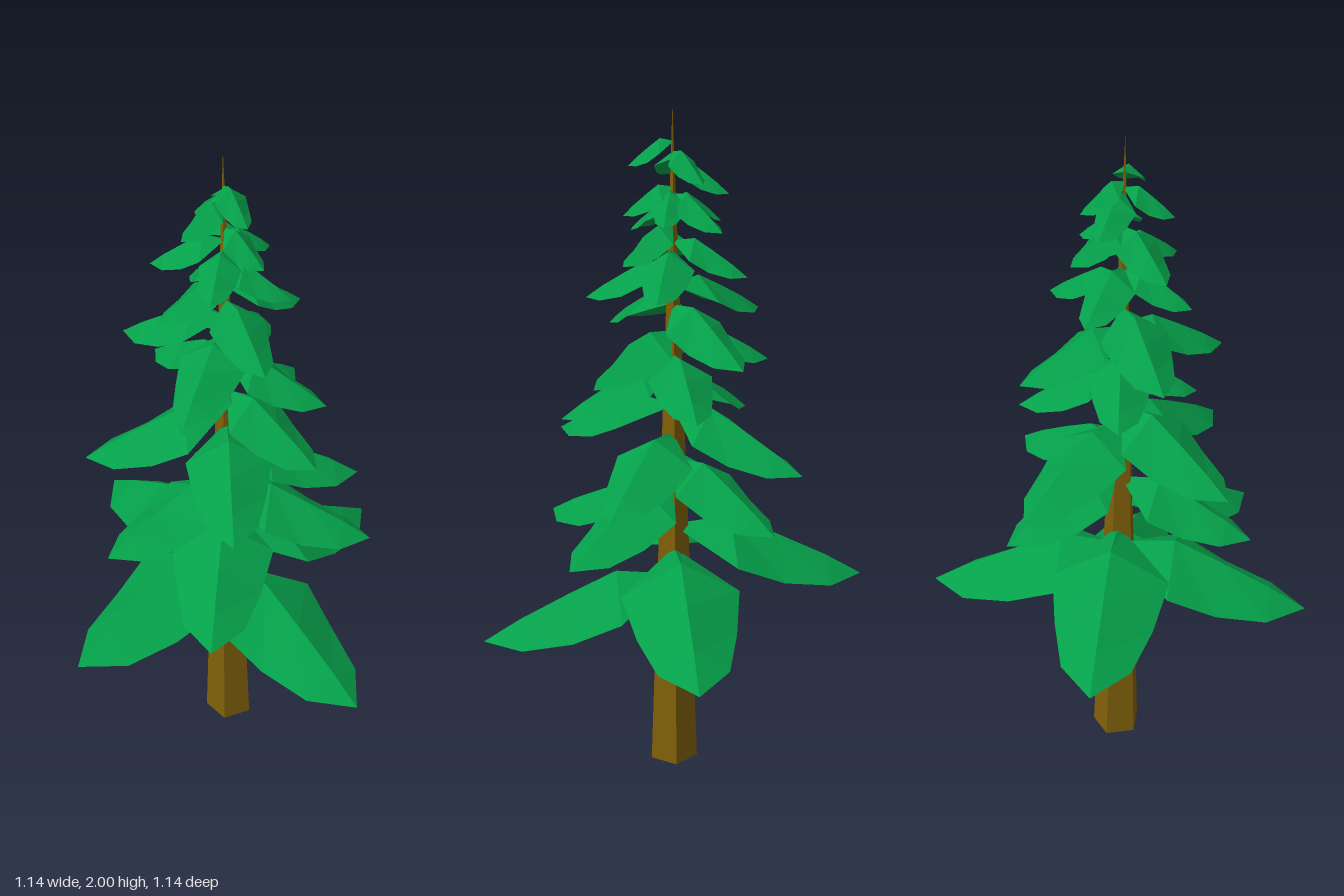
import * as THREE from 'three';

const bark = new THREE.MeshStandardMaterial({ color: 0x806008, flatShading: true });
const needle = new THREE.MeshStandardMaterial({ color: 0x05a04a, flatShading: true, side: THREE.DoubleSide });

// Tip [x, y, z] of every branch, ring by ring from the bottom up
const rings = [
  [[0, 0.42, 0.57], [0.57, 0.51, 0], [0, 0.58, -0.57], [-0.57, 0.52, -0.01]],
  [[-0.355, 0.69, 0.335], [0.27, 0.76, 0.325], [0.285, 0.84, -0.25], [-0.4, 0.8, -0.07]],
  [[0.315, 0.92, 0.215], [0.215, 0.99, -0.34], [-0.34, 1.04, -0.235], [-0.25, 1.0, 0.31]],
  [[0.04, 1.13, 0.325], [0.28, 1.18, -0.03], [-0.04, 1.26, -0.28], [-0.22, 1.22, 0.05]],
  [[0.15, 1.25, 0.24], [0.25, 1.32, -0.16], [-0.16, 1.38, -0.27], [-0.28, 1.33, 0.14]],
  [[-0.08, 1.45, 0.24], [0.2, 1.5, 0.07], [0.06, 1.53, -0.2], [-0.21, 1.53, -0.05]],
  [[0.09, 1.58, 0.15], [0.11, 1.67, -0.12], [-0.15, 1.65, -0.15], [-0.15, 1.63, 0.1]],
  [[0, 1.7, 0.14], [0.11, 1.69, 0.04], [0.03, 1.76, -0.15]],
  [[-0.04, 1.83, 0.12], [0.09, 1.8, -0.07], [-0.155, 1.78, -0.01]],
];

// Cross-sections of a folded leaf: [along, half width, ridge drop, edge drop], all as fractions
const sections = [
  [0, 0.12, 0.08, 0.16],
  [0.27, 1, 0, 0.46],
  [0.53, 0.83, 0.32, 0.78],
  [0.8, 0.58, 0.68, 0.95],
  [1, 0, 1, 1],
];

// Leaf running along +z from the trunk to its tip at y = 0
function leafGeometry(length) {
  const width = 0.01 + 0.295 * length;
  const drop = 0.04 + 0.31 * length;
  const points = [];
  const index = [];
  for (const [t, w, ridge, edge] of sections) {
    const z = t * length;
    points.push(-w * width, (1 - edge) * drop, z, 0, (1 - ridge) * drop, z, w * width, (1 - edge) * drop, z);
  }
  for (let i = 0; i < sections.length - 1; i++) {
    for (let j = 0; j < 2; j++) {
      const a = i * 3 + j, b = a + 1, c = a + 3, d = a + 4;
      // the last section narrows to a point
      if (i === sections.length - 2) index.push(a, c, b);
      else index.push(a, c, b, b, c, d);
    }
  }
  const g = new THREE.BufferGeometry();
  g.setAttribute('position', new THREE.Float32BufferAttribute(points, 3));
  g.setIndex(index);
  const flat = g.toNonIndexed();
  flat.computeVertexNormals();
  return flat;
}

export function createModel() {
  const tree = new THREE.Group();
  tree.name = 'coniferTree';

  // Five-sided trunk with one corner towards +x, leaning slightly to its tip
  const trunkGeometry = new THREE.ConeGeometry(0.074, 2, 5);
  trunkGeometry.rotateY(Math.PI / 2).translate(0, 1, 0);
  const p = trunkGeometry.attributes.position;
  for (let i = 0; i < p.count; i++) p.setX(i, p.getX(i) + 0.003 - 0.0115 * p.getY(i));
  trunkGeometry.computeVertexNormals();
  const trunk = new THREE.Mesh(trunkGeometry, bark);
  trunk.name = 'trunk';
  tree.add(trunk);

  // Rings of drooping branches
  rings.forEach((tips, r) => {
    const ring = new THREE.Group();
    ring.name = `branchRing${r + 1}`;
    for (const [x, y, z] of tips) {
      const centre = 0.003 - 0.0115 * y;
      const start = 0.03 * (1 - y / 2);
      const leaf = new THREE.Mesh(leafGeometry(Math.hypot(x - centre, z) - start), needle);
      const angle = Math.atan2(x - centre, z);
      leaf.name = 'branch';
      leaf.rotation.y = angle;
      leaf.position.set(centre + start * Math.sin(angle), y, start * Math.cos(angle));
      ring.add(leaf);
    }
    tree.add(ring);
  });
  return tree;
}
